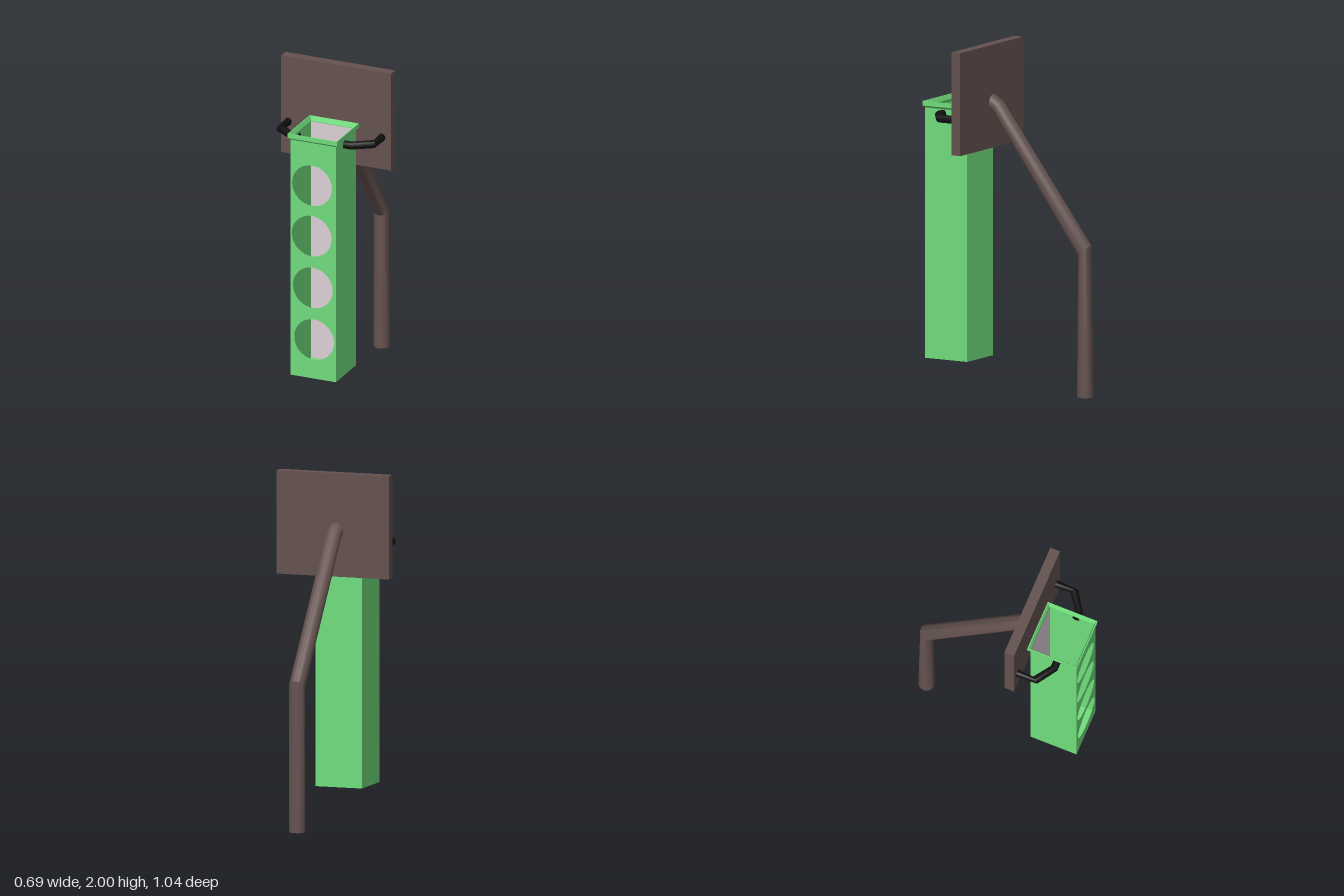
import * as THREE from 'three';
import { toCreasedNormals } from 'three/addons/utils/BufferGeometryUtils.js';

const mat = (color, extra = {}) => new THREE.MeshStandardMaterial({ color, ...extra });

function add(parent, name, geometry, material) {
  const mesh = new THREE.Mesh(geometry, material);
  mesh.name = name;
  parent.add(mesh);
  return mesh;
}

// Round bar through elliptical sections, each given by two opposite points
// (a, b) and a half width w perpendicular to them; both ends are capped.
function bar(sections, w, sides) {
  const pos = [], index = [];
  for (const [a, b] of sections) {
    const A = new THREE.Vector3(...a), B = new THREE.Vector3(...b);
    const c = A.clone().add(B).multiplyScalar(0.5);
    const u = A.sub(B).multiplyScalar(0.5);
    for (let j = 0; j < sides; j++) {
      const t = (j / sides) * Math.PI * 2;
      const p = c.clone().addScaledVector(u, Math.cos(t)).addScaledVector(w, Math.sin(t));
      pos.push(p.x, p.y, p.z);
    }
  }
  const last = (sections.length - 1) * sides;
  for (let i = 0; i < last; i += sides) {
    for (let j = 0; j < sides; j++) {
      const k = (j + 1) % sides;
      index.push(i + j, i + k, i + sides + j, i + k, i + sides + k, i + sides + j);
    }
  }
  for (let j = 1; j < sides - 1; j++) {
    index.push(0, j + 1, j, last, last + j, last + j + 1);
  }
  const geo = new THREE.BufferGeometry();
  geo.setAttribute('position', new THREE.Float32BufferAttribute(pos, 3));
  geo.setIndex(index);
  return toCreasedNormals(geo, 0.5);
}

export function createModel() {
  const model = new THREE.Group();
  const brown = mat(0x64524f);
  const black = mat(0x111111);
  const green = mat(0x70de7c, { side: THREE.DoubleSide });
  const pale = mat(0xdcd0d8, { side: THREE.DoubleSide });

  // Backboard
  add(model, 'backboard', new THREE.BoxGeometry(0.692, 0.6, 0.06), brown)
    .position.set(-0.001, 1.7, 0.177);

  // Bent support post
  const post = [
    [[0, 0, -0.425], [0, 0, -0.52]],
    [[0, 0.822, -0.435], [0, 0.88, -0.508]],
    [[0, 1.607, 0.138], [0, 1.675, 0.088]],
    [[0, 1.617, 0.15], [0, 1.714, 0.15]],
  ];
  add(model, 'supportPost', bar(post, new THREE.Vector3(0.047, 0, 0), 32), brown)
    .position.x = -0.019;

  // Hollow square column with thin walls and an open top
  const column = new THREE.Group();
  column.name = 'column';
  const cx = -0.0075, cz = 0.371, half = 0.1425, y0 = 0.165, y1 = 1.635;
  column.position.set(cx, 0, cz);
  model.add(column);

  const front = new THREE.Shape([
    new THREE.Vector2(-half, y0), new THREE.Vector2(half, y0),
    new THREE.Vector2(half, y1), new THREE.Vector2(-half, y1),
  ]);
  for (const [x, y] of [[-0.015, 1.36], [-0.017, 1.047], [-0.01, 0.727], [-0.002, 0.407]]) {
    const hole = new THREE.Path();
    hole.absarc(x - cx, y, 0.125, 0, Math.PI * 2, true);
    front.holes.push(hole);
  }
  add(column, 'frontWall', new THREE.ShapeGeometry(front, 32), green).position.z = half;

  const wall = new THREE.PlaneGeometry(2 * half, y1 - y0)
    .translate(0, (y0 + y1) / 2, half);
  ['leftWall', 'backWall', 'rightWall'].forEach((name, i) => {
    add(column, name, wall, green).rotation.y = (i + 1) * Math.PI / 2;
  });
  add(column, 'floor', new THREE.PlaneGeometry(2 * half, 2 * half).rotateX(Math.PI / 2), green)
    .position.y = y0;
  add(column, 'backLining', new THREE.PlaneGeometry(2 * half - 0.004, y1 - y0 - 0.004), pale)
    .position.set(0, (y0 + y1) / 2, -half + 0.004);

  // Flared square rim
  const profile = [
    [0.1425, 1.622], [0.155, 1.635], [0.155, 1.662],
    [0.15, 1.662], [0.139, 1.635], [0.1425, 1.622],
  ].map(([r, y]) => new THREE.Vector2(r * Math.SQRT2, y));
  const rimMat = green.clone();
  rimMat.flatShading = true;
  add(column, 'rim', new THREE.LatheGeometry(profile, 4, Math.PI / 4), rimMat)
    .position.set(-0.0015, 0, -0.003);

  // Bent brackets holding the column on both sides
  const y = 1.597;
  const arm = [
    [[0.317, y, 0.2], [0.273, y, 0.2]],
    [[0.309, y, 0.338], [0.281, y, 0.3]],
    [[0.192, y, 0.415], [0.182, y, 0.37]],
    [[0.142, y, 0.415], [0.142, y, 0.37]],
  ];
  const bracket = bar(arm, new THREE.Vector3(0, 0.0235, 0), 24);
  for (const s of [1, -1]) {
    const mesh = add(model, s > 0 ? 'leftBracket' : 'rightBracket', bracket, black);
    mesh.scale.x = s;
    mesh.position.x = cx;
  }
  return model;
}
